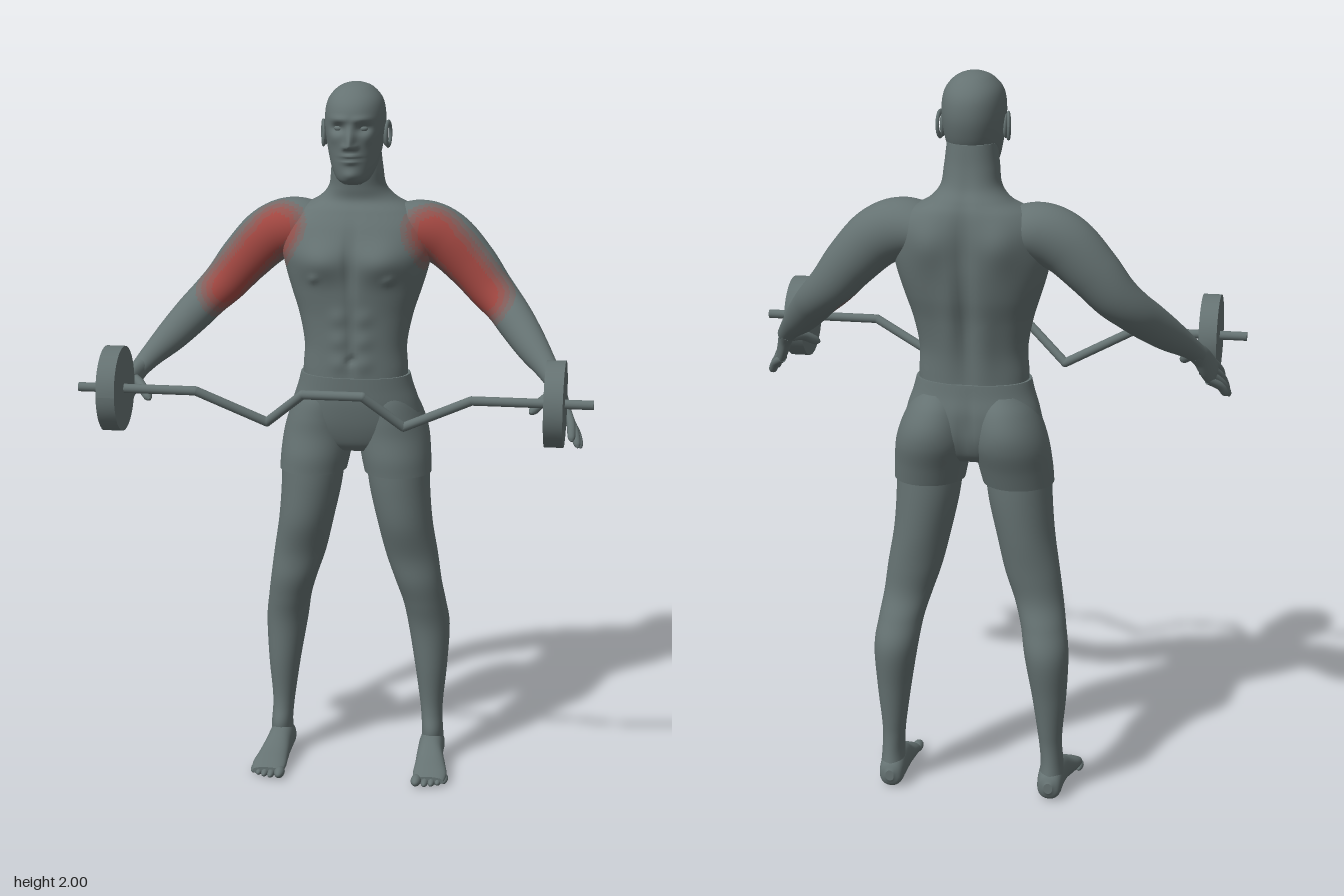
import * as THREE from 'three';

const V = (x, y, z) => new THREE.Vector3(x, y, z);
const UP = V(0, 1, 0), FRONT = V(0, 0, 1);

function material(name, color) {
  const m = new THREE.MeshStandardMaterial({ color });
  m.name = name;
  return m;
}

// Rows are [x, y, z, radius across, radius along ref]; the rings follow a smooth curve through them.
function loft(rows, { segs = 40, steps = 6, axis = null, ref = FRONT, power = 2, shape = null } = {}) {
  const path = new THREE.CatmullRomCurve3(rows.map(r => V(r[0], r[1], r[2])), false, 'catmullrom');
  const radii = new THREE.CatmullRomCurve3(rows.map(r => V(r[3], r[4], 0)), false, 'catmullrom');
  const n = (rows.length - 1) * steps, pos = [], idx = [];
  const curve = v => Math.sign(v) * Math.abs(v) ** (2 / power);
  for (let j = 0; j <= n; j++) {
    const c = path.getPoint(j / n), r = radii.getPoint(j / n);
    const t = axis || path.getTangent(j / n);
    const b = ref.clone().addScaledVector(t, -ref.dot(t)).normalize();
    const side = V(0, 0, 0).crossVectors(t, b);
    for (let i = 0; i < segs; i++) {
      const a = i / segs * Math.PI * 2;
      const p = c.clone().addScaledVector(side, curve(Math.cos(a)) * r.x).addScaledVector(b, curve(Math.sin(a)) * r.y);
      if (shape) shape(p);
      pos.push(p.x, p.y, p.z);
      const k = j * segs + i, q = j * segs + (i + 1) % segs;
      if (j < n) idx.push(k, k + segs, q, q, k + segs, q + segs);
    }
  }
  // flat end caps with their own vertices
  for (const [j, flip] of [[0, false], [n, true]]) {
    const base = pos.length / 3, c = path.getPoint(j / n);
    pos.push(...pos.slice(j * segs * 3, (j + 1) * segs * 3), c.x, c.y, c.z);
    for (let i = 0; i < segs; i++) {
      const k = base + i, q = base + (i + 1) % segs;
      idx.push(base + segs, flip ? q : k, flip ? k : q);
    }
  }
  const g = new THREE.BufferGeometry();
  g.setAttribute('position', new THREE.Float32BufferAttribute(pos, 3));
  g.setIndex(idx);
  g.computeVertexNormals();
  return g;
}

// Reflects a geometry in x and turns its faces round
function mirrored(geo) {
  const g = geo.clone().scale(-1, 1, 1), a = g.index.array;
  for (let i = 0; i < a.length; i += 3) [a[i + 1], a[i + 2]] = [a[i + 2], a[i + 1]];
  g.computeVertexNormals();
  return g;
}

function ball(x, y, z, rx, ry, rz) {
  return new THREE.SphereGeometry(1, 20, 14).scale(rx, ry, rz).translate(x, y, z);
}

// Highlighted muscle: 0 is bare skin, 4 is the strongest tone
const muscle = new THREE.Line3(V(0.22, 1.595, -0.15), V(0.36, 1.42, -0.155));
function muscleLevel(p) {
  const q = V(Math.abs(p.x), p.y, p.z);
  const d = muscle.closestPointToPoint(q, true, V(0, 0, 0)).distanceTo(q);
  return Math.round(4 * (1 - THREE.MathUtils.smoothstep(d, 0.025, 0.11)));
}
function paint(geo) {
  const a = geo.index.array, p = geo.attributes.position, bins = [[], [], [], [], []];
  for (let i = 0; i < a.length; i += 3) {
    const m = V(0, 0, 0);
    for (let k = 0; k < 3; k++) m.add(V(0, 0, 0).fromBufferAttribute(p, a[i + k]));
    bins[muscleLevel(m.divideScalar(3))].push(a[i], a[i + 1], a[i + 2]);
  }
  geo.setIndex(bins.flat());
  let start = 0;
  bins.forEach((b, k) => { if (b.length) geo.addGroup(start, b.length, k); start += b.length; });
  return geo;
}

// Symmetric bump, and a row given as height, half width, front z and back z
const bump = (p, x, y, sx, sy) => Math.exp(-(((Math.abs(p.x) - x) / sx) ** 2) - ((p.y - y) / sy) ** 2);
const row = ([y, w, zf, zb]) => [0, y, (zf + zb) / 2, w, (zf - zb) / 2];

function shapeTorso(p) {
  const f = THREE.MathUtils.clamp((p.z + 0.2) / 0.08, 0, 1);
  const b = THREE.MathUtils.clamp((-0.22 - p.z) / 0.08, 0, 1);
  let dz = 0.03 * bump(p, 0.085, 1.515, 0.075, 0.055) - 0.012 * bump(p, 0, 1.5, 0.014, 0.09)
    - 0.006 * bump(p, 0, 1.3, 0.012, 0.1) + 0.007 * bump(p, 0.105, 1.465, 0.012, 0.012)
    - 0.012 * bump(p, 0, 1.235, 0.01, 0.012);
  for (const y of [1.225, 1.29, 1.355]) dz += 0.006 * bump(p, 0.035, y, 0.025, 0.025);
  const back = 0.022 * bump(p, 0.095, 1.57, 0.06, 0.07) + 0.008 * bump(p, 0.05, 1.3, 0.03, 0.12)
    - 0.016 * bump(p, 0, 1.43, 0.02, 0.2);
  p.z += f * dz - b * back;
}

function shapeHead(p) {
  if (p.z < -0.16) return;
  const f = THREE.MathUtils.clamp((p.z + 0.16) / 0.05, 0, 1);
  const ridge = THREE.MathUtils.smoothstep(p.y, 1.822, 1.834) * (1 - THREE.MathUtils.smoothstep(p.y, 1.834, 1.9));
  p.z += f * (0.03 * ridge * Math.exp(-((p.x / 0.012) ** 2)) + 0.008 * bump(p, 0.014, 1.833, 0.008, 0.008)
    - 0.016 * bump(p, 0.034, 1.883, 0.02, 0.013) + 0.006 * bump(p, 0.03, 1.908, 0.028, 0.009)
    + 0.008 * bump(p, 0, 1.808, 0.022, 0.006) + 0.008 * bump(p, 0, 1.793, 0.02, 0.007)
    - 0.005 * bump(p, 0, 1.8, 0.026, 0.003) + 0.008 * bump(p, 0, 1.755, 0.022, 0.015)
    + 0.005 * bump(p, 0.05, 1.855, 0.018, 0.018));
}

export function createModel() {
  const model = new THREE.Group();
  const skin = material('grey', 0x657272);
  const tones = [skin, material('faintRed', 0x756866), material('softRed', 0x845d5a),
    material('midRed', 0x94534e), material('muscleRed', 0xa34842)];
  const add = (name, geo, mat = skin) => {
    const m = new THREE.Mesh(geo, mat);
    m.name = name;
    model.add(m);
  };
  const pair = (name, geo, mat) => {
    add('left' + name, geo, mat);
    add('right' + name, mirrored(geo), mat);
  };

  // Torso and neck
  add('torso', paint(loft([
    [1.14, 0.148, -0.092, -0.285], [1.2, 0.148, -0.092, -0.285], [1.27, 0.145, -0.092, -0.29],
    [1.35, 0.16, -0.09, -0.305], [1.42, 0.182, -0.083, -0.325], [1.48, 0.2, -0.083, -0.335],
    [1.54, 0.212, -0.088, -0.337], [1.6, 0.205, -0.105, -0.337], [1.645, 0.165, -0.13, -0.332],
    [1.675, 0.11, -0.15, -0.32], [1.71, 0.08, -0.147, -0.3], [1.76, 0.072, -0.14, -0.287],
    [1.82, 0.065, -0.14, -0.28]].map(row),
  { segs: 96, steps: 8, axis: UP, power: 2.25, shape: shapeTorso })), tones);

  // Head with face, eyes and ears
  add('head', loft([
    [1.727, 0.025, -0.1, -0.15], [1.74, 0.045, -0.085, -0.19], [1.77, 0.061, -0.078, -0.235],
    [1.81, 0.072, -0.073, -0.27], [1.85, 0.079, -0.07, -0.288], [1.89, 0.083, -0.066, -0.296],
    [1.93, 0.081, -0.071, -0.292], [1.96, 0.071, -0.09, -0.275], [1.985, 0.048, -0.125, -0.245],
    [1.996, 0.024, -0.155, -0.215], [2, 0.003, -0.182, -0.188]].map(row),
  { segs: 96, steps: 8, axis: UP, power: 2.1, shape: shapeHead }));
  pair('Eye', ball(0.033, 1.882, -0.096, 0.014, 0.009, 0.012));
  pair('Ear', ball(0.083, 1.857, -0.182, 0.008, 0.032, 0.018));
  pair('EarRim', new THREE.TorusGeometry(0.018, 0.005, 8, 24).scale(1, 1.7, 1)
    .rotateY(Math.PI / 2 - 0.25).translate(0.09, 1.858, -0.183));

  // Shorts: hips and two short legs
  add('hips', loft([
    [0.965, 0.11, -0.135, -0.26], [0.99, 0.165, -0.115, -0.285], [1.04, 0.19, -0.098, -0.305],
    [1.1, 0.18, -0.088, -0.307], [1.15, 0.164, -0.086, -0.297], [1.185, 0.155, -0.085, -0.292]].map(row),
  { segs: 64, axis: UP, power: 2.2, shape: p => { if (p.z < -0.2) p.z += 0.012 * bump(p, 0, 1.06, 0.014, 0.07); } }));
  pair('ShortsLeg', loft([
    [0.122, 0.9, -0.19, 0.096, 0.102], [0.115, 0.95, -0.198, 0.1, 0.111], [0.106, 1.01, -0.213, 0.102, 0.118],
    [0.1, 1.06, -0.215, 0.094, 0.119], [0.092, 1.11, -0.208, 0.08, 0.108], [0.085, 1.15, -0.2, 0.06, 0.085]],
  { axis: UP }));

  // Legs
  pair('Leg', loft([
    [0.225, 0.05, -0.235, 0.034, 0.045], [0.225, 0.1, -0.225, 0.031, 0.047], [0.222, 0.15, -0.23, 0.031, 0.041],
    [0.22, 0.2, -0.234, 0.035, 0.043], [0.2175, 0.3, -0.237, 0.047, 0.055], [0.21, 0.42, -0.243, 0.06, 0.068],
    [0.198, 0.5, -0.223, 0.062, 0.067], [0.182, 0.57, -0.203, 0.067, 0.065], [0.163, 0.65, -0.2, 0.075, 0.071],
    [0.143, 0.75, -0.191, 0.079, 0.09], [0.128, 0.85, -0.19, 0.086, 0.097], [0.121, 0.94, -0.19, 0.091, 0.098]],
  { axis: UP }));

  // Feet and toes
  pair('Foot', loft([
    [0.224, 0.04, -0.287, 0.012, 0.015], [0.224, 0.04, -0.27, 0.032, 0.037], [0.224, 0.05, -0.22, 0.036, 0.049],
    [0.226, 0.045, -0.16, 0.038, 0.043], [0.232, 0.032, -0.11, 0.044, 0.03], [0.236, 0.023, -0.065, 0.049, 0.021],
    [0.236, 0.016, -0.03, 0.044, 0.012]], { axis: FRONT, ref: UP, power: 2.3 }));
  for (let i = 0; i < 5; i++) {
    const r = i ? 0.0105 : 0.015;
    pair('Toe' + (i + 1), ball([0.2, 0.225, 0.244, 0.262, 0.279][i], r + 0.001, -0.029 - i * i * 0.002, r, r, 0.029));
  }

  // Arms, running from inside the shoulder to the wrist
  pair('Arm', paint(loft([
    [0.1, 1.585, -0.235, 0.065, 0.085], [0.18, 1.59, -0.23, 0.08, 0.083], [0.25, 1.562, -0.23, 0.08, 0.075],
    [0.32, 1.495, -0.227, 0.072, 0.066], [0.375, 1.43, -0.215, 0.063, 0.06], [0.42, 1.385, -0.188, 0.056, 0.055],
    [0.458, 1.345, -0.143, 0.053, 0.05], [0.505, 1.295, -0.08, 0.045, 0.042], [0.55, 1.25, -0.02, 0.032, 0.03],
    [0.578, 1.218, 0.02, 0.025, 0.025]], { segs: 56, steps: 9 })), tones);

  // Hands: flat palm, four fingers and a thumb
  const spread = V(0.1, 0.65, 0.7).normalize();
  pair('Palm', loft([
    [0.568, 1.229, 0.004, 0.024, 0.026], [0.583, 1.208, 0.033, 0.021, 0.034], [0.597, 1.178, 0.06, 0.018, 0.042],
    [0.61, 1.152, 0.083, 0.015, 0.041], [0.616, 1.14, 0.092, 0.008, 0.034]], { ref: spread, segs: 28 }));
  const finger = (name, from, mid, tip, r) => pair(name, loft(
    [[from, 1], [mid, 1], [mid.clone().lerp(tip, 0.75), 0.9], [tip, 0.3]].map(([p, k]) => [p.x, p.y, p.z, r * k, r * k]),
    { segs: 14, steps: 5, ref: V(1, 0, 0.3) }));
  const tips = [V(0.65, 1.083, 0.108), V(0.655, 1.073, 0.138), V(0.648, 1.08, 0.162), V(0.632, 1.1, 0.176)];
  tips.forEach((tip, i) => {
    const from = V(0.605, 1.158, 0.078).addScaledVector(spread, (i - 1.5) * 0.021);
    const mid = from.clone().lerp(tip, 0.5).add(V(0.006, 0.004, 0.004));
    finger('Finger' + (i + 1), from, mid, tip, 0.0115);
  });
  finger('Thumb', V(0.585, 1.2, 0.05), V(0.555, 1.195, 0.1), V(0.518, 1.165, 0.148), 0.014);

  // Cranked barbell: straight rods joined at the bends
  const half = [[0.69, 1.217, 0.24], [0.37, 1.217, 0.24], [0.185, 1.127, 0.195], [0.08, 1.217, 0.24]];
  const pts = [...half, ...half.map(([x, y, z]) => [-x, y, z]).reverse()].map(p => V(...p));
  pts.slice(1).forEach((b, i) => {
    const a = pts[i], d = b.clone().sub(a);
    const rod = new THREE.CylinderGeometry(0.0125, 0.0125, d.length(), 16);
    rod.applyQuaternion(new THREE.Quaternion().setFromUnitVectors(UP, d.normalize()));
    add('barRod' + (i + 1), rod.translate(...a.clone().add(b).multiplyScalar(0.5).toArray()));
    if (i) add('barBend' + i, ball(a.x, a.y, a.z, 0.0125, 0.0125, 0.0125));
  });
  pair('Plate', new THREE.CylinderGeometry(0.114, 0.114, 0.05, 48).rotateZ(Math.PI / 2).translate(0.59, 1.217, 0.24));

  return model;
}
